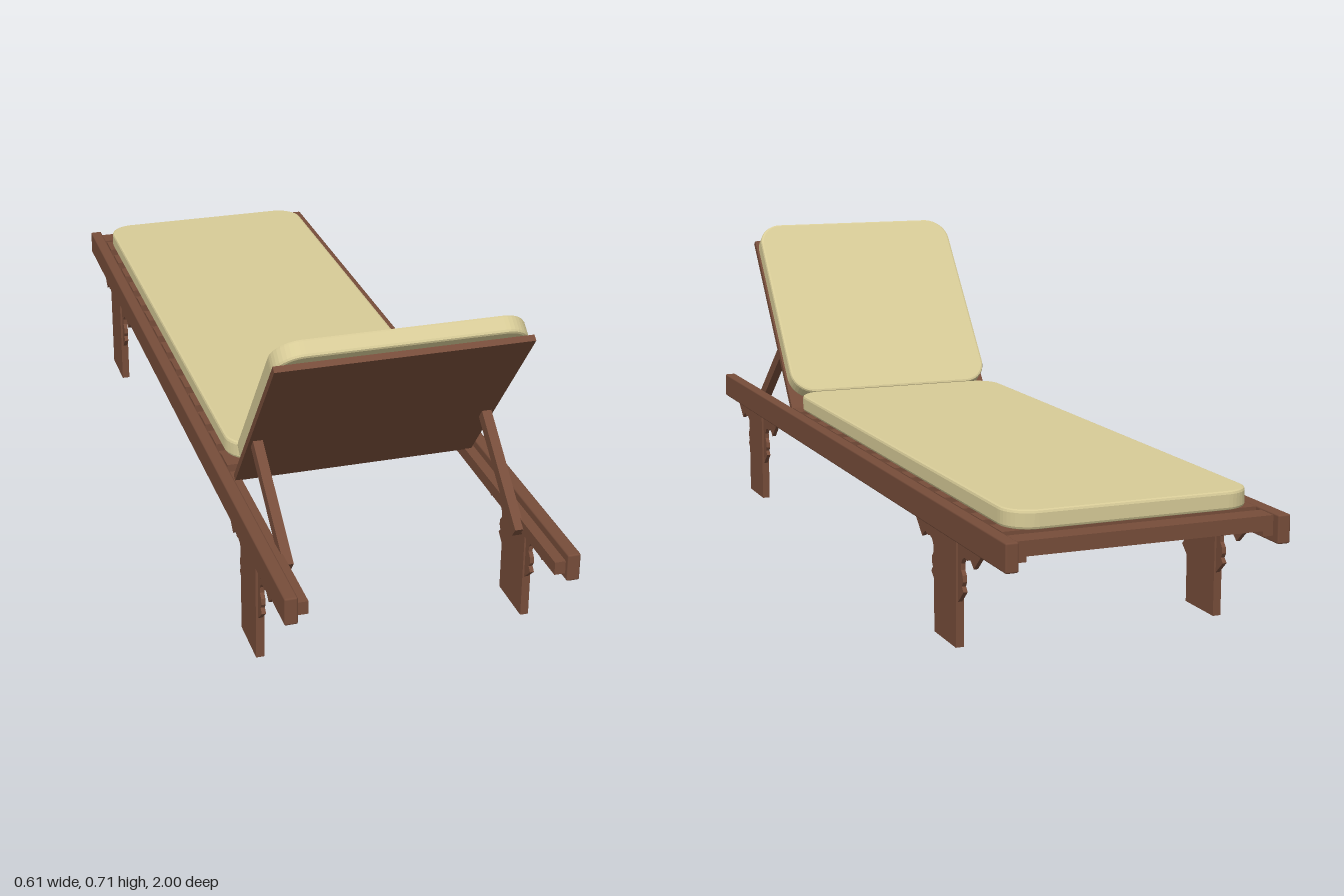
import * as THREE from 'three';
import { RoundedBoxGeometry } from 'three/addons/geometries/RoundedBoxGeometry.js';

const wood = new THREE.MeshStandardMaterial({ color: 0x774d3a });
wood.name = 'wood';
const fabric = new THREE.MeshStandardMaterial({ color: 0xd7cb97 });
fabric.name = 'cushionFabric';

function add(parent, name, geometry, material) {
  const mesh = new THREE.Mesh(geometry, material);
  mesh.name = name;
  parent.add(mesh);
  return mesh;
}

// Box given by its minimum and maximum on each axis
function box(parent, name, [x0, x1], [y0, y1], [z0, z1], material = wood) {
  const mesh = add(parent, name, new THREE.BoxGeometry(x1 - x0, y1 - y0, z1 - z0), material);
  mesh.position.set((x0 + x1) / 2, (y0 + y1) / 2, (z0 + z1) / 2);
  return mesh;
}

// Flat pad with rounded corners and a soft edge, lying on y = 0 from z = 0 to z = length
function cushionGeometry(halfWidth, length, thickness) {
  const bevel = 0.006, w = halfWidth - bevel, h = length / 2 - bevel, r = 0.055;
  const shape = new THREE.Shape();
  shape.absarc(w - r, h - r, r, 0, Math.PI / 2);
  shape.absarc(-w + r, h - r, r, Math.PI / 2, Math.PI);
  shape.absarc(-w + r, -h + r, r, Math.PI, Math.PI * 1.5);
  shape.absarc(w - r, -h + r, r, Math.PI * 1.5, Math.PI * 2);
  const geometry = new THREE.ExtrudeGeometry(shape, {
    depth: thickness - 2 * bevel, curveSegments: 5,
    bevelSize: bevel, bevelThickness: bevel, bevelSegments: 2,
  });
  return geometry.rotateX(-Math.PI / 2).translate(0, bevel, length / 2);
}

// Scalloped bracket on both sides of a leg, extruded across x
function bracketGeometry(thickness) {
  const half = [
    [0.178, 0.222], [0.178, 0.216], [0.142, 0.183], [0.132, 0.192], [0.122, 0.198],
    [0.108, 0.192], [0.096, 0.195], [0.084, 0.19], [0.076, 0.178], [0.076, 0.165],
    [0.084, 0.155], [0.086, 0.142], [0.08, 0.132], [0.089, 0.122], [0.06, 0.095],
  ];
  const outline = [...half, ...half.map(([z, y]) => [-z, y]).reverse()];
  const shape = new THREE.Shape(outline.map(([z, y]) => new THREE.Vector2(z, y)));
  return new THREE.ExtrudeGeometry(shape, { depth: thickness, bevelEnabled: false })
    .translate(0, 0, -thickness / 2).rotateY(-Math.PI / 2);
}

export function createModel() {
  const model = new THREE.Group();
  model.name = 'sunLounger';

  for (const side of [-1, 1]) {
    const half = new THREE.Group();
    half.name = side > 0 ? 'leftSide' : 'rightSide';
    model.add(half);

    // Long rail and the inner ledge that carries the slats
    const rail = add(half, 'rail', new RoundedBoxGeometry(0.028, 0.06, 2, 1, 0.004), wood);
    rail.position.set(side * 0.292, 0.25, 0);
    const ledge = add(half, 'ledge', new THREE.BoxGeometry(0.025, 0.028, 1.97), wood);
    ledge.position.set(side * 0.2675, 0.248, 0.005);

    // Plank legs with scalloped brackets
    for (const z of [0.71, -0.68]) {
      const leg = add(half, 'leg', new THREE.BoxGeometry(0.018, 0.222, 0.12), wood);
      leg.position.set(side * 0.293, 0.111, z);
      const bracket = add(half, 'legBracket', bracketGeometry(0.009), wood);
      bracket.position.set(side * 0.2925, 0, z);
    }

    // Slanted strut that props up the backrest
    const foot = new THREE.Vector3(side * 0.248, 0.236, 0.818);
    const head = new THREE.Vector3(side * 0.252, 0.412, 0.592);
    const strut = add(half, 'backrestStrut',
      new THREE.BoxGeometry(0.021, 0.028, foot.distanceTo(head)), wood);
    strut.position.copy(foot).add(head).multiplyScalar(0.5);
    strut.lookAt(head);
  }

  // Slatted bed and end crossbar
  for (let i = 0; i < 14; i++) {
    const z = -0.885 + i * 0.1;
    box(model, 'slat', [-0.277, 0.277], [0.262, 0.279], [z - 0.03, z + 0.03]);
  }
  box(model, 'endCrossbar', [-0.28, 0.28], [0.245, 0.276], [-0.98, -0.932]);

  // Seat cushion and the strip of fabric joining it to the back cushion
  const seat = add(model, 'seatCushion', cushionGeometry(0.267, 1.37, 0.039), fabric);
  seat.position.set(0, 0.28, -0.93);
  box(model, 'cushionHinge', [-0.2, 0.2], [0.305, 0.311], [0.43, 0.475], fabric);

  // Tilted backrest: a board with its cushion
  const backrest = new THREE.Group();
  backrest.name = 'backrest';
  backrest.position.set(0, 0.29, 0.49);
  backrest.rotation.x = -0.9;
  model.add(backrest);
  box(backrest, 'backrestBoard', [-0.27, 0.27], [-0.014, 0], [-0.027, 0.487]);
  add(backrest, 'backCushion', cushionGeometry(0.267, 0.512, 0.04), fabric);

  return model;
}
